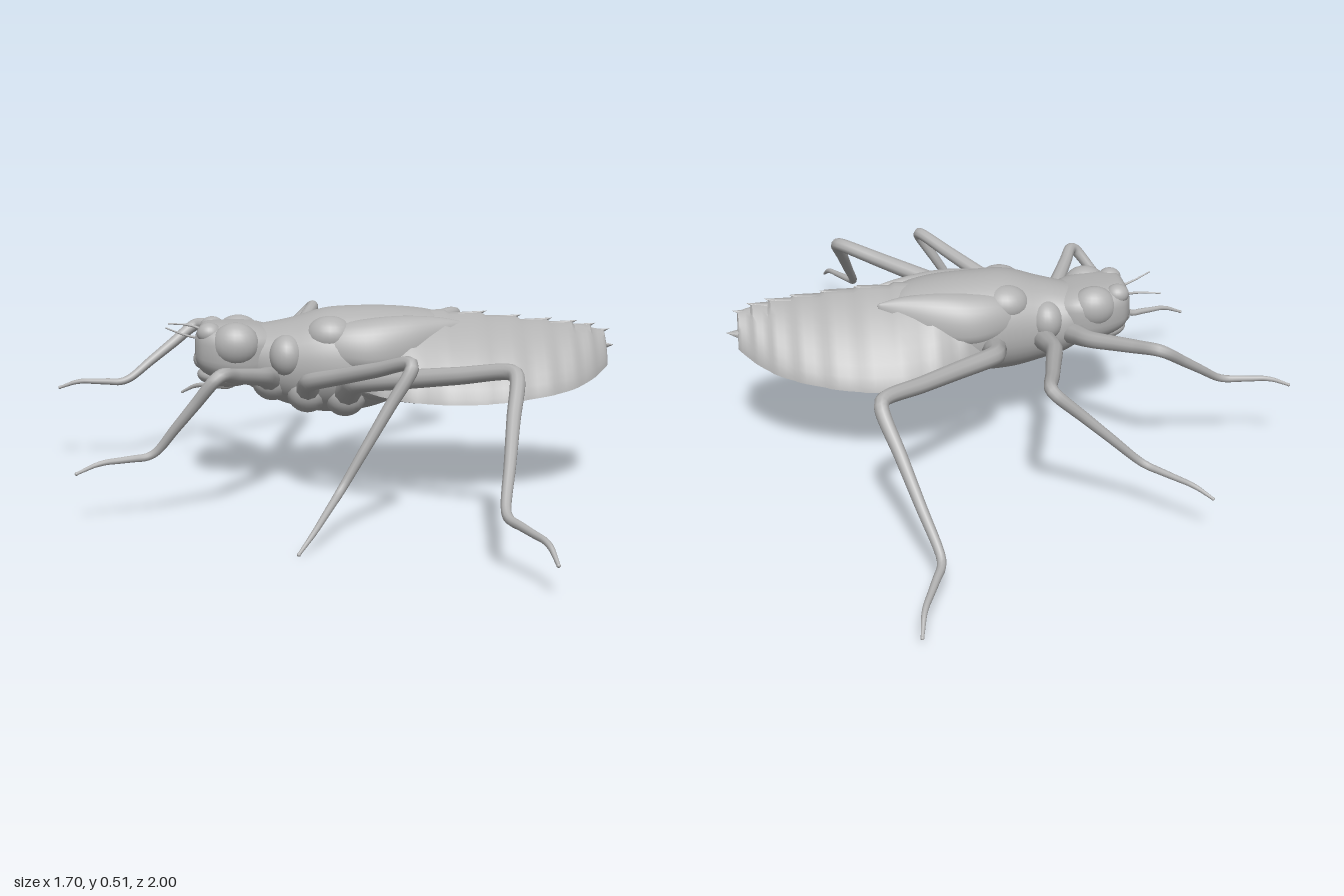
import * as THREE from 'three';
import { toCreasedNormals } from 'three/addons/utils/BufferGeometryUtils.js';

const shell = new THREE.MeshStandardMaterial({ color: 0xb2b2b2 });
shell.name = 'grey shell';

function mesh(name, geometry) {
  const m = new THREE.Mesh(geometry, shell);
  m.name = name;
  return m;
}

// Smooth sampling of section keys: [x, halfWidth, yTop, yEdge, yBottom, zCentre]
function sampler(keys) {
  const curves = [1, 2, 3, 4, 5].map((c) =>
    new THREE.SplineCurve(keys.map((k) => new THREE.Vector2(k[0], k[c]))));
  return (u) => {
    const p = curves.map((c) => c.getPoint(u));
    return [p[0].x, ...p.map((q) => q.y)];
  };
}
const sampled = (keys, n) => {
  const at = sampler(keys);
  return Array.from({ length: n + 1 }, (_, i) => at(i / n));
};

// Skin over cross-sections; power above 1 gives a ridged section, below 1 a boxy one
function loft(sections, power = 1, sides = 36) {
  const close = (s) => [s[0], 0, s[3], s[3], s[3], s[5]];
  const rings = [close(sections[0]), ...sections, close(sections.at(-1))];
  const pos = [], index = [];
  rings.forEach(([x, w, top, edge, bottom, zc], i) => {
    for (let j = 0; j < sides; j++) {
      const a = (j / sides) * Math.PI * 2, c = Math.cos(a), s = Math.sin(a);
      const z = zc + w * Math.sign(c) * Math.abs(c) ** power;
      pos.push(x, edge + ((s > 0 ? top : bottom) - edge) * Math.abs(s) ** power, z);
      if (i < rings.length - 1) {
        const k = (j + 1) % sides, q = i * sides, r = q + sides;
        index.push(q + j, r + j, q + k, q + k, r + j, r + k);
      }
    }
  });
  const g = new THREE.BufferGeometry();
  g.setAttribute('position', new THREE.Float32BufferAttribute(pos, 3));
  g.setIndex(index);
  g.computeVertexNormals();
  return g;
}

// Tube through joints, straight between tight bends, with a radius at each joint
function taperedTube(points, radii, bend = 0.016) {
  const P = points.map((p) => new THREE.Vector3(...p));
  const path = [P[0]];
  for (let i = 1; i < P.length; i++) {
    const a = P[i - 1], b = P[i];
    if (i > 1) path.push(a.clone().add(b.clone().sub(a).setLength(bend)));
    path.push(a.clone().lerp(b, 0.35), a.clone().lerp(b, 0.65));
    if (i < P.length - 1) path.push(b.clone().add(a.clone().sub(b).setLength(bend)));
  }
  path.push(P.at(-1));
  const curve = new THREE.CatmullRomCurve3(path, false, 'centripetal');
  const along = [0];
  for (let i = 1; i < P.length; i++) along.push(along[i - 1] + P[i].distanceTo(P[i - 1]));
  const n = 90, sides = 10;
  const g = new THREE.TubeGeometry(curve, n, 1, sides, false);
  const v = new THREE.Vector3(), pos = g.attributes.position;
  for (let i = 0; i <= n; i++) {
    const centre = curve.getPointAt(i / n), d = (i / n) * along.at(-1);
    let k = 1;
    while (k < P.length - 1 && d > along[k]) k++;
    const f = Math.min(1, (d - along[k - 1]) / (along[k] - along[k - 1]));
    const r = THREE.MathUtils.lerp(radii[k - 1], radii[k], f);
    for (let j = 0; j <= sides; j++) {
      const id = i * (sides + 1) + j;
      v.fromBufferAttribute(pos, id).sub(centre).multiplyScalar(r).add(centre);
      pos.setXYZ(id, v.x, v.y, v.z);
    }
  }
  return g;
}

function ball(name, x, y, z, rx, ry, rz) {
  const m = mesh(name, new THREE.SphereGeometry(1, 24, 16));
  m.position.set(x, y, z);
  m.scale.set(rx, ry, rz);
  return m;
}

function spike(name, x, y, z, dir, length, radius) {
  const m = mesh(name, new THREE.ConeGeometry(radius, length, 10));
  m.position.set(x, y, z);
  m.quaternion.setFromUnitVectors(new THREE.Vector3(0, 1, 0), new THREE.Vector3(...dir).normalize());
  return m;
}

export function createModel() {
  const model = new THREE.Group();
  model.name = 'insect larva';

  // Body lies along its own x axis, head at -x, and is turned as a whole
  const body = new THREE.Group();
  body.name = 'body';
  body.position.set(0.4, 0, 0.02);
  body.rotation.y = 0.34;
  model.add(body);

  // Ridged abdomen with a soft ripple for each segment, a sharp rim and a dished belly
  const abdomenAt = sampler([
    [-0.42, 0.08, 0.46, 0.33, 0.25, -0.01], [-0.32, 0.16, 0.495, 0.30, 0.245, -0.02],
    [-0.22, 0.218, 0.5, 0.283, 0.262, -0.025], [-0.1, 0.25, 0.497, 0.278, 0.28, -0.025],
    [0.03, 0.252, 0.488, 0.282, 0.294, -0.018], [0.15, 0.222, 0.475, 0.292, 0.308, -0.015],
    [0.25, 0.178, 0.465, 0.306, 0.32, -0.015], [0.32, 0.125, 0.455, 0.328, 0.337, -0.02],
    [0.37, 0.07, 0.435, 0.355, 0.358, -0.03]]);
  const segments = 10, rings = [];
  for (let i = 0; i < segments; i++) {
    for (const f of [0, 0.3, 0.6, 0.85]) {
      const s = abdomenAt((i + f) / segments);
      s[1] *= 1 + 0.02 * f;
      s[2] += 0.01 * f;
      s[4] -= 0.006 * f;
      rings.push(s);
    }
  }
  rings.push(abdomenAt(1));
  body.add(mesh('abdomen', toCreasedNormals(loft(rings, 1.45, 40), 0.75)));

  // Ridge hooks, small side spines and tail points
  for (let i = 4; i < segments; i++) {
    const [x, w, top, edge, , zc] = abdomenAt((i + 0.85) / segments);
    body.add(spike('ridge hook', x - 0.02, top, zc, [1, 0.3, 0], 0.08, 0.02));
    if (i > 5 && i < segments - 1) {
      for (const side of [-1, 1]) {
        body.add(spike('side spine', x - 0.015, edge + 0.006, zc + side * (w - 0.012), [1, 0.08, side * -0.25], 0.07, 0.014));
      }
    }
  }
  body.add(spike('right tail point', 0.355, 0.39, -0.07, [1, 0.1, 0.05], 0.1, 0.035));
  body.add(spike('left tail point', 0.32, 0.375, 0.04, [1, 0.05, 0], 0.08, 0.035));

  // Thorax with shoulder humps
  body.add(mesh('thorax', loft(sampled([
    [-0.68, 0.08, 0.455, 0.39, 0.32, -0.01], [-0.6, 0.112, 0.468, 0.37, 0.27, -0.01],
    [-0.52, 0.128, 0.485, 0.36, 0.24, 0], [-0.42, 0.148, 0.513, 0.36, 0.22, 0],
    [-0.3, 0.155, 0.517, 0.36, 0.23, -0.015], [-0.2, 0.138, 0.512, 0.4, 0.27, -0.025],
    [-0.12, 0.1, 0.5, 0.43, 0.35, -0.035], [-0.08, 0.06, 0.48, 0.45, 0.4, -0.04]], 36), 0.95)));
  for (const side of [-1, 1]) {
    body.add(ball('shoulder hump', -0.53, 0.39, side * 0.09, 0.05, 0.06, 0.055));
    body.add(ball('back hump', -0.41, 0.445, side * 0.075, 0.07, 0.055, 0.06));
  }

  // Wing pads merging into the thorax and folded over the abdomen
  const pads = { 'left wing pad': [0.07, 0.08, 0.075, 0.06, 0.038, 0.028],
    'right wing pad': [-0.07, -0.09, -0.1, -0.1, -0.097, -0.1] };
  for (const [name, zc] of Object.entries(pads)) {
    const keys = [[-0.5, 0.02, 0.42, 0.4, 0.38], [-0.4, 0.058, 0.475, 0.4, 0.34],
      [-0.3, 0.077, 0.493, 0.39, 0.33], [-0.2, 0.064, 0.498, 0.4, 0.34],
      [-0.1, 0.033, 0.49, 0.43, 0.38], [-0.035, 0.004, 0.475, 0.46, 0.45]];
    body.add(mesh(name, loft(sampled(keys.map((k, i) => [...k, zc[i]]), 24))));
  }

  // Boxy head with half-sunken eyes, jaw and feelers
  body.add(mesh('head', loft(sampled([
    [-0.785, 0.06, 0.445, 0.4, 0.36, 0], [-0.765, 0.09, 0.472, 0.40, 0.335, 0],
    [-0.72, 0.113, 0.475, 0.4, 0.315, 0], [-0.66, 0.12, 0.475, 0.4, 0.3, -0.005],
    [-0.61, 0.11, 0.468, 0.4, 0.3, -0.01], [-0.57, 0.09, 0.455, 0.4, 0.31, -0.01]], 24), 0.7)));
  body.add(ball('jaw', -0.7, 0.325, 0, 0.085, 0.035, 0.075));
  for (const side of [-1, 1]) {
    body.add(ball('eye', -0.672, 0.42, side * 0.078, 0.068, 0.062, 0.054));
    body.add(ball('brow', -0.745, 0.45, side * 0.062, 0.035, 0.03, 0.032));
    body.add(ball('mouthpart', -0.77, 0.375, side * 0.035, 0.022, 0.028, 0.028));
  }
  model.add(mesh('feeler', taperedTube([[-0.33, 0.44, 0.23], [-0.39, 0.455, 0.225], [-0.45, 0.455, 0.23]], [0.005, 0.003, 0.002])));
  model.add(mesh('feeler', taperedTube([[-0.31, 0.43, 0.3], [-0.35, 0.44, 0.33], [-0.4, 0.465, 0.36]], [0.005, 0.003, 0.002])));

  // Legs: hip, thigh, knee, ankle, foot, toe
  const legs = {
    'right front leg': [[-0.16, 0.34, 0.17], [-0.27, 0.37, 0.05], [-0.49, 0.415, -0.07], [-0.65, 0.253, 0.11], [-0.79, 0.253, 0.143], [-0.845, 0.232, 0.155]],
    'right middle leg': [[-0.1, 0.33, 0.14], [-0.18, 0.37, -0.03], [-0.24, 0.435, -0.415], [-0.48, 0.177, -0.3], [-0.63, 0.16, -0.36], [-0.68, 0.133, -0.37]],
    'right rear leg': [[0.02, 0.32, 0.06], [-0.02, 0.36, -0.09], [0.2, 0.415, -0.53], [-0.025, 0.09, -0.76], [-0.02, 0.06, -0.94], [-0.03, 0.023, -1]],
    'left front leg': [[-0.12, 0.32, 0.26], [-0.095, 0.35, 0.4], [-0.11, 0.4, 0.665], [-0.3, 0.175, 0.67], [-0.41, 0.168, 0.76], [-0.46, 0.143, 0.79]],
    'left middle leg': [[-0.02, 0.29, 0.25], [0.03, 0.34, 0.38], [0.385, 0.445, 0.575], [0.22, 0.125, 0.67], [0.2, 0.05, 0.82], [0.18, 0.01, 0.87]],
    'left rear leg': [[0.08, 0.28, 0.22], [0.15, 0.34, 0.345], [0.625, 0.42, 0.48], [0.68, 0.135, 0.82], [0.81, 0.115, 0.94], [0.84, 0.08, 0.985]],
  };
  for (const [name, points] of Object.entries(legs)) {
    const leg = new THREE.Group();
    leg.name = name;
    const rear = name.includes('rear') ? 1.15 : 1;
    const radii = [0.038, 0.025, 0.018, 0.011, 0.007, 0.004].map((r) => r * rear);
    leg.add(mesh('limb', taperedTube(points, radii)));
    leg.add(ball('hip', ...points[0], 0.06, 0.06, 0.06));
    leg.add(ball('toe tip', ...points[5], 0.005, 0.005, 0.005));
    model.add(leg);
  }
  return model;
}
